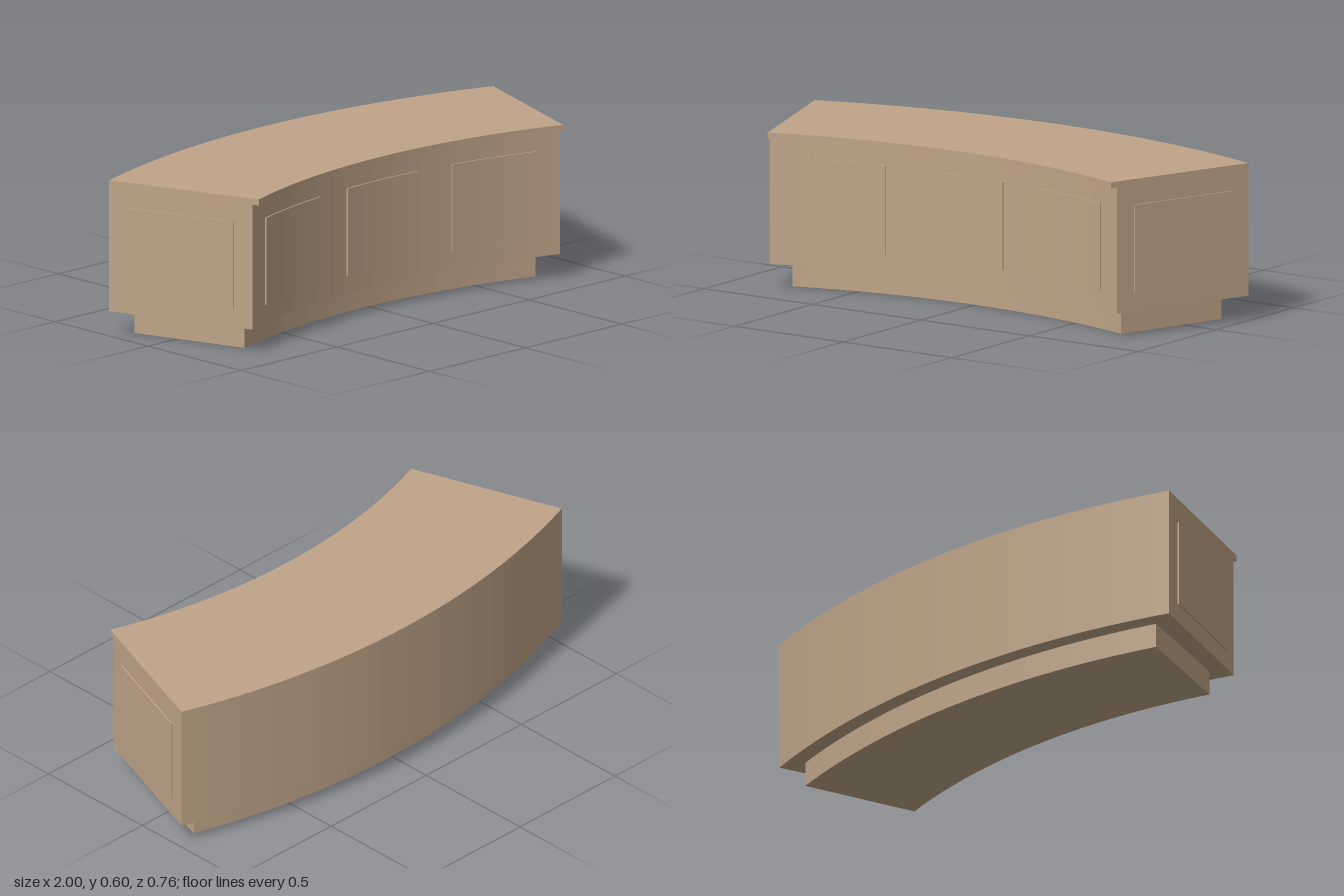
import * as THREE from 'three';

const CENTER_Z = 2.63; // centre of curvature, in front of the counter
const rad = THREE.MathUtils.degToRad;
const material = new THREE.MeshStandardMaterial({ color: 0xbfa488 });

// Solid ring sector between two radii, two angles (degrees) and two heights
function sector(name, rIn, rOut, from, to, y0, y1, segments = 16) {
  const a = Math.PI / 2 - rad(to);
  const b = Math.PI / 2 - rad(from);
  const shape = new THREE.Shape();
  shape.absarc(0, -CENTER_Z, rOut, a, b, false);
  shape.absarc(0, -CENTER_Z, rIn, b, a, true);
  shape.closePath();
  const geometry = new THREE.ExtrudeGeometry(shape, {
    depth: y1 - y0, bevelEnabled: false, curveSegments: segments,
  });
  geometry.rotateX(-Math.PI / 2).translate(0, y0, 0);
  const mesh = new THREE.Mesh(geometry, material);
  mesh.name = name;
  return mesh;
}

export function createModel() {
  const counter = new THREE.Group();
  counter.name = 'curvedCounter';
  const half = 19.4;
  const panelLow = 0.167, panelHigh = 0.505, outset = 0.006;

  // Recessed plinth, cabinet body and overhanging top
  counter.add(
    sector('plinth', 2.478, 2.945, -17.8, 17.8, 0, 0.095),
    sector('body', 2.41, 3.01, -half, half, 0.095, 0.578),
    sector('countertop', 2.383, 3.01, -half, half, 0.578, 0.602),
  );

  // Three raised panels along the concave front
  for (const mid of [-12.6, 0, 12.6]) {
    counter.add(sector('frontPanel', 2.41 - outset, 2.42, mid - 4.4, mid + 4.4, panelLow, panelHigh, 4));
  }

  // One raised panel on each end
  for (const side of [-1, 1]) {
    const pivot = new THREE.Group();
    pivot.name = side > 0 ? 'leftEndPanel' : 'rightEndPanel';
    pivot.position.z = CENTER_Z;
    pivot.rotation.y = -side * rad(half);
    const panel = new THREE.Mesh(new THREE.BoxGeometry(outset * 2, panelHigh - panelLow, 0.441), material);
    panel.name = 'endPanel';
    panel.position.set(0, (panelLow + panelHigh) / 2, -2.709);
    pivot.add(panel);
    counter.add(pivot);
  }
  return counter;
}
